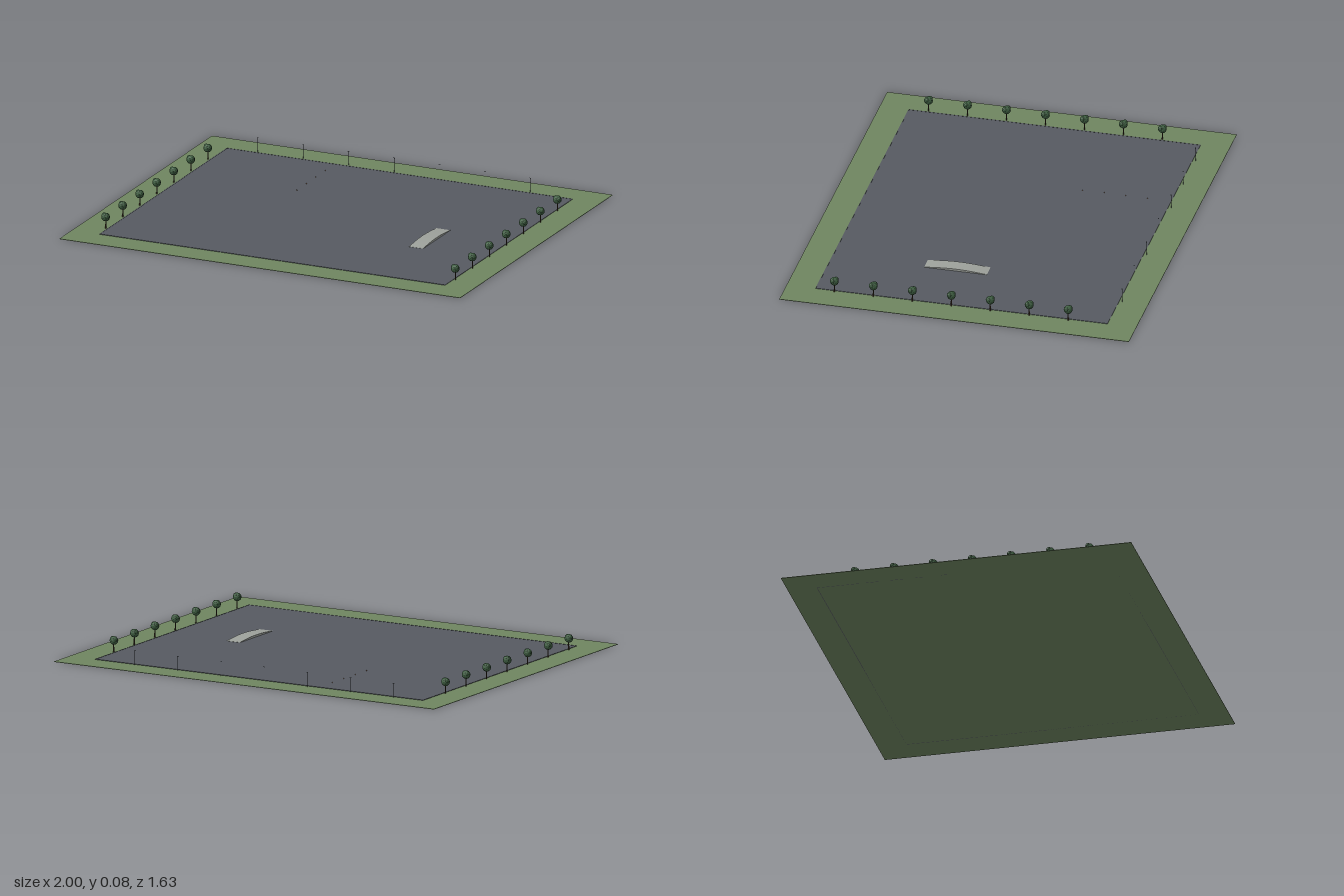
import * as THREE from 'three';

const mat = (color) => new THREE.MeshStandardMaterial({ color, flatShading: true, roughness: 0.9 });
const grass = mat(0x6f8560), asphalt = mat(0x565a61), concrete = mat(0x9da19b);
const bark = mat(0x4a3a2a), leaf = mat(0x3f5f42), metal = mat(0x44484c), orange = mat(0x8a5a3a);

function add(parent, name, geometry, material, x = 0, y = 0, z = 0) {
  const mesh = new THREE.Mesh(geometry, material);
  mesh.name = name;
  mesh.position.set(x, y, z);
  parent.add(mesh);
  return mesh;
}

// Thin trunk with a lumpy faceted crown
function tree(x, z) {
  const g = new THREE.Group();
  g.name = 'tree';
  g.position.set(x, 0.002, z);
  add(g, 'trunk', new THREE.CylinderGeometry(0.002, 0.003, 0.042, 6), bark, 0, 0.021, 0);
  add(g, 'crown', new THREE.IcosahedronGeometry(0.02, 1), leaf, -0.001, 0.054, 0);
  add(g, 'crownLump', new THREE.IcosahedronGeometry(0.013, 1), leaf, 0.008, 0.059, 0.006);
  add(g, 'crownLump', new THREE.IcosahedronGeometry(0.012, 1), leaf, -0.01, 0.06, -0.005);
  return g;
}

// Slender post with a small head
function lamp(x, z) {
  const g = new THREE.Group();
  g.name = 'lampPost';
  g.position.set(x, 0.002, z);
  add(g, 'pole', new THREE.CylinderGeometry(0.0007, 0.0009, 0.066, 6), metal, 0, 0.033, 0);
  add(g, 'lampHead', new THREE.BoxGeometry(0.008, 0.0015, 0.003), metal, 0, 0.0665, 0.001);
  return g;
}

// Low humped ramp, arched along z
function ramp() {
  const z0 = -0.04, z1 = 0.252, steps = 12, width = 0.07;
  const shape = new THREE.Shape();
  shape.moveTo(z0, 0);
  for (let i = 0; i <= steps; i++) {
    const t = i / steps;
    shape.lineTo(z0 + (z1 - z0) * t, 0.001 + 0.009 * Math.sin(Math.PI * t));
  }
  shape.lineTo(z1, 0);
  const geometry = new THREE.ExtrudeGeometry(shape, { depth: width, bevelEnabled: false });
  geometry.rotateY(-Math.PI / 2);
  return geometry;
}

export function createModel() {
  const model = new THREE.Group();
  model.name = 'vehicleYard';

  // Ground slab and paved yard
  add(model, 'lawn', new THREE.BoxGeometry(2, 0.002, 1.63), grass, 0, 0.001, 0);
  add(model, 'pavement', new THREE.BoxGeometry(1.726, 0.003, 1.362), asphalt, 0, 0.0017, 0);

  // Low kerbs round the yard
  for (const s of [-1, 1]) {
    add(model, 'kerb', new THREE.BoxGeometry(0.003, 0.004, 1.362), asphalt, s * 0.8615, 0.002, 0);
    add(model, 'kerb', new THREE.BoxGeometry(1.72, 0.004, 0.003), asphalt, 0, 0.002, s * 0.6795);
  }

  add(model, 'ramp', ramp(), concrete, 0.552, 0.003, 0);

  // Tree rows on both sides
  for (const x of [-0.873, 0.872])
    for (let i = 0; i < 7; i++) model.add(tree(x, -0.5 + i * 0.1817));

  // Lamp row along the back
  for (let i = 0; i < 7; i++) model.add(lamp(-0.715 + i * 0.2267, -0.695));

  // Marker cones
  for (let i = 0; i < 4; i++)
    add(model, 'markerCone', new THREE.ConeGeometry(0.002, 0.005, 8), orange, -0.32, 0.0057, -0.57 + i * 0.101);

  return model;
}
